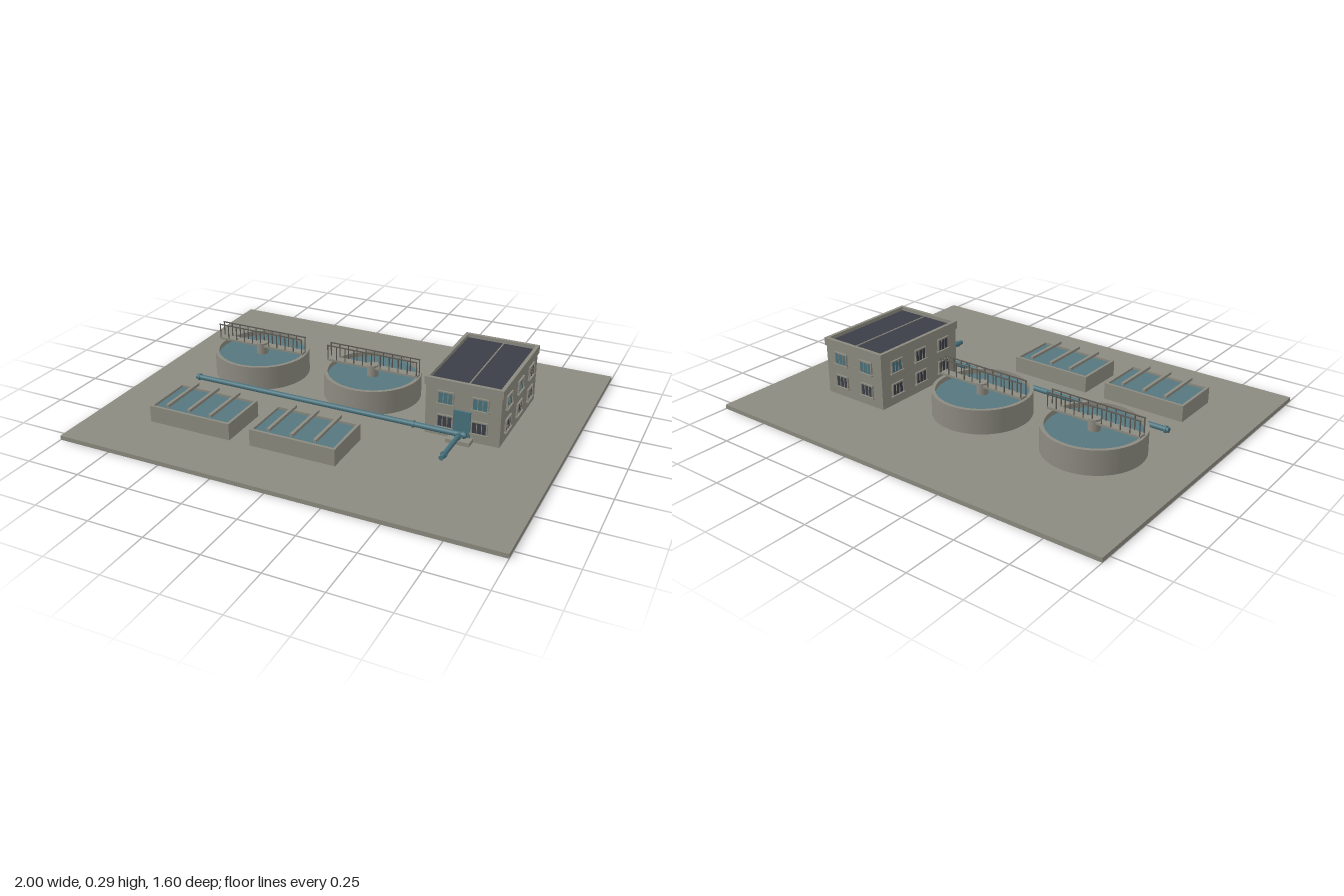
import * as THREE from 'three';

const mat = (name, color, side = THREE.FrontSide) => {
  const m = new THREE.MeshStandardMaterial({ color, side });
  m.name = name;
  return m;
};

export function createModel() {
  const concrete = mat('concrete', 0x8c8a80);
  const water = mat('water', 0x55767e);
  const teal = mat('teal paint', 0x47717c);
  const dark = mat('dark roof and glass', 0x3b3e47);
  const steel = mat('railing steel', 0x5c5a54);

  const model = new THREE.Group();
  model.name = 'waterTreatmentPlant';

  const add = (parent, name, geo, material, x = 0, y = 0, z = 0) => {
    const m = new THREE.Mesh(geo, material);
    m.name = name;
    m.position.set(x, y, z);
    parent.add(m);
    return m;
  };
  // Box given by its limits on each axis
  const box = (parent, name, material, x0, x1, y0, y1, z0, z1) =>
    add(parent, name, new THREE.BoxGeometry(x1 - x0, y1 - y0, z1 - z0), material,
      (x0 + x1) / 2, (y0 + y1) / 2, (z0 + z1) / 2);
  const group = (name, x = 0, y = 0, z = 0, parent = model) => {
    const g = new THREE.Group();
    g.name = name;
    g.position.set(x, y, z);
    parent.add(g);
    return g;
  };
  // Upright wall extruded from a plan outline with a hole
  const wall = (outer, inner, height) => {
    outer.holes.push(inner);
    const geo = new THREE.ExtrudeGeometry(outer, { depth: height, bevelEnabled: false, curveSegments: 64 });
    return geo.rotateX(-Math.PI / 2);
  };
  const rect = (w, d, T = THREE.Shape) => new T([
    new THREE.Vector2(-w / 2, -d / 2), new THREE.Vector2(w / 2, -d / 2),
    new THREE.Vector2(w / 2, d / 2), new THREE.Vector2(-w / 2, d / 2)]);
  const disc = (r, T = THREE.Shape) => new T().absarc(0, 0, r, 0, Math.PI * 2, false);

  // Ground slab
  box(model, 'groundSlab', concrete, -1, 1, 0, 0.02, -0.8, 0.8);

  // Round clarifiers with a bridge across each
  for (const x of [-0.548, 0.035]) {
    const g = group('clarifier', x, 0, -0.155);
    add(g, 'tankWall', wall(disc(0.225), disc(0.208, THREE.Path), 0.113), concrete, 0, 0.02, 0);
    add(g, 'tankWater', new THREE.CylinderGeometry(0.209, 0.209, 0.09, 64), water, 0, 0.065, 0);
    add(g, 'centreHub', new THREE.CylinderGeometry(0.027, 0.027, 0.06, 24), concrete, 0, 0.135, 0);
    box(g, 'bridgeDeck', concrete, -0.226, 0.226, 0.146, 0.156, -0.02, 0.02);
    for (const z of [-0.018, 0.018]) {
      box(g, 'handrail', steel, -0.226, 0.226, 0.22, 0.225, z - 0.0022, z + 0.0022);
      for (let i = 0; i <= 10; i++) {
        const px = -0.222 + i * 0.0444;
        box(g, 'railPost', steel, px - 0.002, px + 0.002, 0.156, 0.22, z - 0.002, z + 0.002);
      }
    }
  }

  // Rectangular filter basins with cross beams
  for (const x of [-0.525, -0.025]) {
    const g = group('filterBasin', x, 0, 0.402);
    add(g, 'basinWall', wall(rect(0.4, 0.245), rect(0.375, 0.22, THREE.Path), 0.077), concrete, 0, 0.02, 0);
    box(g, 'basinWater', water, -0.188, 0.188, 0.02, 0.086, -0.111, 0.111);
    for (const bx of [-0.108, 0, 0.108])
      box(g, 'crossBeam', concrete, bx - 0.007, bx + 0.007, 0.108, 0.121, -0.12, 0.12);
  }

  // Control building: body, parapet and roof
  const b = group('building', 0.562, 0, -0.16);
  const W = 0.336, D = 0.508;
  box(b, 'buildingBody', concrete, -W / 2, W / 2, 0.02, 0.262, -D / 2, D / 2);
  add(b, 'parapet', wall(rect(W + 0.012, D + 0.01), rect(W - 0.02, D - 0.022, THREE.Path), 0.037), concrete, 0, 0.25, 0);
  box(b, 'roofPanel', dark, -W / 2 + 0.008, W / 2 - 0.008, 0.262, 0.27, -D / 2 + 0.008, D / 2 - 0.008);
  box(b, 'roofSeam', concrete, 0.01, 0.015, 0.27, 0.274, -D / 2 + 0.01, D / 2 - 0.01);

  // Window facing +z in its own group: glass, frame, mullion and sill
  const addWindow = (x, y, z, turn, glass) => {
    const g = group('window', x, y, z, b);
    g.rotation.y = turn;
    box(g, 'glass', glass, -0.032, 0.032, -0.026, 0.026, 0, 0.004);
    for (const s of [-1, 1]) {
      box(g, 'frameSide', concrete, s * 0.034 - 0.003, s * 0.034 + 0.003, -0.028, 0.028, 0, 0.008);
      box(g, 'mullion', concrete, s * 0.011 - 0.0015, s * 0.011 + 0.0015, -0.026, 0.026, 0, 0.006);
    }
    box(g, 'lintel', concrete, -0.037, 0.037, 0.025, 0.031, 0, 0.008);
    box(g, 'sill', concrete, -0.042, 0.042, -0.032, -0.026, 0, 0.012);
  };
  for (const [y, upper] of [[0.203, true], [0.093, false]]) {
    for (const x of [-0.077, 0.077]) {
      addWindow(x, y, D / 2, 0, upper ? teal : dark);
      addWindow(x, y, -D / 2, Math.PI, upper ? teal : dark);
    }
    [0.158, 0, -0.158].forEach((z, i) => {
      addWindow(W / 2, y, z, Math.PI / 2, upper && i < 2 ? teal : dark);
      addWindow(-W / 2, y, z, -Math.PI / 2, upper && i > 1 ? teal : dark);
    });
  }

  // Door and step
  box(b, 'door', teal, -0.038, 0.038, 0.04, 0.158, D / 2, D / 2 + 0.009);
  box(b, 'doorStep', concrete, -0.055, 0.052, 0.02, 0.038, D / 2, D / 2 + 0.05);

  // Pipes with flanges: a main along x and a branch along z
  const pipe = (name, axis, from, to, r, x, y, z) => {
    const geo = new THREE.CylinderGeometry(r, r, to - from, 20);
    if (axis === 'x') geo.rotateZ(Math.PI / 2); else geo.rotateX(Math.PI / 2);
    const mid = (from + to) / 2;
    add(model, name, geo, teal, axis === 'x' ? mid : x, y, axis === 'z' ? mid : z);
  };
  pipe('mainPipe', 'x', -0.75, 0.59, 0.012, 0, 0.057, 0.115);
  pipe('branchPipe', 'z', 0.115, 0.337, 0.011, 0.562, 0.057, 0);
  for (const x of [-0.735, 0.35, 0.58]) pipe('flange', 'x', x - 0.004, x + 0.004, 0.016, 0, 0.057, 0.115);
  for (const z of [0.14, 0.305]) pipe('flange', 'z', z - 0.004, z + 0.004, 0.015, 0.562, 0.057, 0);

  return model;
}
